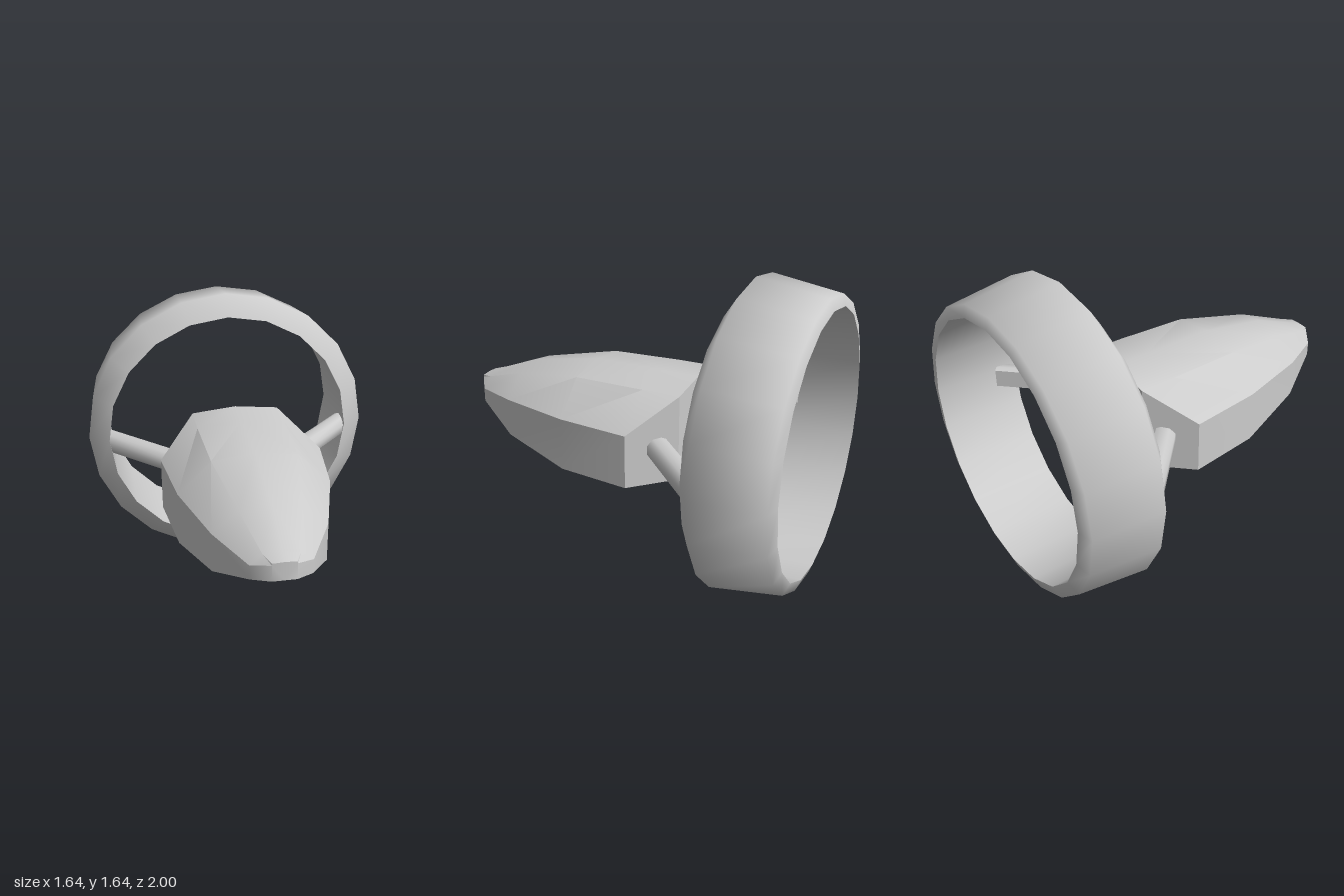
import * as THREE from 'three';
import { toCreasedNormals } from 'three/addons/utils/BufferGeometryUtils.js';

const material = new THREE.MeshStandardMaterial({ color: 0xcccccc });

function addMesh(parent, name, geometry) {
  const mesh = new THREE.Mesh(geometry, material);
  mesh.name = name;
  parent.add(mesh);
  return mesh;
}

// Hull lofted from half cross-sections, mirrored across x = 0
function hullGeometry() {
  // z, half width, bottom, side ridge, shoulder x, shoulder y, top
  const stations = [
    [-0.32, 0.24, 0.59, 0.88, 0.24, 1.055, 1.08],
    [-0.115, 0.445, 0.59, 0.88, 0.24, 1.055, 1.08],
    [0.28, 0.4, 0.59, 0.877, 0.225, 1.05, 1.08],
    [0.68, 0.285, 0.66, 0.868, 0.155, 0.98, 1.01],
    [0.935, 0.15, 0.765, 0.84, 0.09, 0.893, 0.907],
    [1.0, 0.06, 0.785, 0.87, 0.058, 0.88, 0.883],
  ];
  const rings = stations.map(([z, w, bottom, ridge, sx, sy, top]) =>
    [[0, bottom, z], [w, bottom, z], [w, ridge, z], [sx, sy, z], [0, top, z]]);
  const positions = [];
  const tri = (a, b, c) => {
    positions.push(...a, ...b, ...c);
    for (const [x, y, z] of [a, c, b]) positions.push(-x, y, z);
  };
  for (let i = 0; i < rings.length - 1; i++) {
    for (let j = 0; j < 4; j++) {
      const a = rings[i][j], b = rings[i][j + 1];
      const c = rings[i + 1][j], d = rings[i + 1][j + 1];
      tri(a, b, c);
      tri(b, d, c);
    }
  }
  // End caps
  const back = rings[0], front = rings[rings.length - 1];
  for (let j = 1; j < 4; j++) {
    tri(back[0], back[j + 1], back[j]);
    tri(front[0], front[j], front[j + 1]);
  }
  const geometry = new THREE.BufferGeometry();
  geometry.setAttribute('position', new THREE.Float32BufferAttribute(positions, 3));
  return toCreasedNormals(geometry, 0.66);
}

// Hollow ring, tapering to the rear
function ringGeometry() {
  const profile = [[0.7, -1], [0.757, -0.98], [0.82, -0.605], [0.705, -0.53], [0.7, -1]]
    .map(([r, z]) => new THREE.Vector2(r, z));
  const geometry = new THREE.LatheGeometry(profile, 20);
  geometry.rotateX(Math.PI / 2);
  // The rear outer edge is slightly wider than tall
  const p = geometry.attributes.position;
  for (let i = 0; i < p.count; i++) {
    if (Math.abs(p.getZ(i) + 0.98) < 0.005) p.setX(i, p.getX(i) * 1.04);
  }
  return toCreasedNormals(geometry, 1.31);
}

// Strut bar: flat behind, rounded in front
function strutGeometry() {
  const section = new THREE.Shape([
    [0.05, -0.05], [0.05, 0.05], [0.025, 0.06], [-0.02, 0.055],
    [-0.05, 0.025], [-0.05, -0.025], [-0.02, -0.055], [0.025, -0.06],
  ].map(([x, y]) => new THREE.Vector2(x, y)));
  const geometry = new THREE.ExtrudeGeometry(section, { depth: 0.62, bevelEnabled: false });
  return toCreasedNormals(geometry, 0.9);
}

export function createModel() {
  const model = new THREE.Group();
  model.name = 'ringTailedCraft';

  addMesh(model, 'hull', hullGeometry());
  addMesh(model, 'tailRing', ringGeometry()).position.y = 0.825;

  // Diagonal struts from the hull's rear corners to the ring
  const bar = strutGeometry();
  for (const side of [1, -1]) {
    const half = new THREE.Group();
    half.name = side > 0 ? 'leftStrut' : 'rightStrut';
    half.scale.x = side;
    const strut = addMesh(half, 'strutBar', bar);
    strut.position.set(0.28, 0.785, -0.19);
    strut.rotation.y = Math.PI * 0.75;
    model.add(half);
  }
  return model;
}
